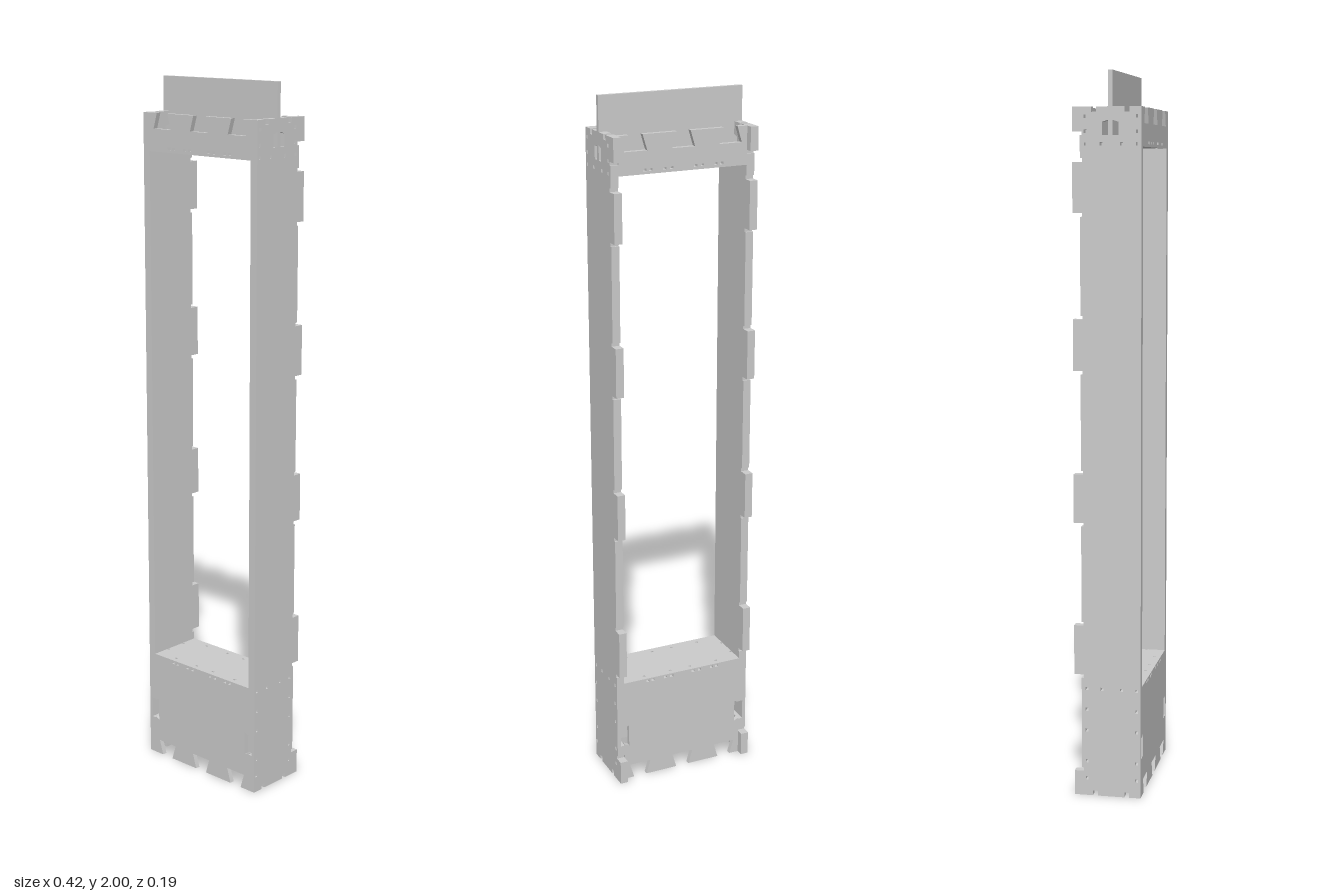
import * as THREE from 'three';

const HALF_W = 0.21, INNER = 0.187;      // outer and inner faces of the sides
const FRONT = 0.094, BACK = -0.073;      // outer faces of front and back panels
const THICK = 0.014, MID_Z = 0.0095;
const TOP = 1.905;

const material = new THREE.MeshStandardMaterial({ color: 0xcccccc, flatShading: true });

const toShape = (pts) => new THREE.Shape(pts.map(([x, y]) => new THREE.Vector2(x, y)));

function addHole(shape, pts) {
  shape.holes.push(new THREE.Path(pts.map(([x, y]) => new THREE.Vector2(x, y))));
}

function rectHole(shape, x, y, w, h) {
  addHole(shape, [[x - w / 2, y - h / 2], [x - w / 2, y + h / 2], [x + w / 2, y + h / 2], [x + w / 2, y - h / 2]]);
}

function extrude(shape, depth) {
  return new THREE.ExtrudeGeometry(shape, { depth, bevelEnabled: false });
}

function addMesh(parent, name, geometry) {
  const mesh = new THREE.Mesh(geometry, material);
  mesh.name = name;
  parent.add(mesh);
  return mesh;
}

// Dovetail socket cut into a horizontal edge; dir is +1 for a bottom edge, -1 for a top edge
const socket = (x, y, dir) => [
  [x - 0.02, y], [x - 0.033, y + dir * 0.043], [x + 0.033, y + dir * 0.043], [x + 0.02, y],
];
const SOCKETS = [-0.138, 0, 0.138];

// Lower panel: sockets along the bottom and half sockets in both sides
function lowerPanelShape() {
  const pts = [[-INNER, 0]];
  SOCKETS.forEach((x) => pts.push(...socket(x, 0, 1)));
  pts.push([INNER, 0], [INNER, 0.115], [0.173, 0.109], [0.173, 0.176], [INNER, 0.17], [INNER, 0.317]);
  pts.push([-INNER, 0.317], [-INNER, 0.17], [-0.173, 0.176], [-0.173, 0.109], [-INNER, 0.115]);
  return toShape(pts);
}

// Header: sockets along the top
function headerShape() {
  const pts = [[-INNER, 1.8], [INNER, 1.8], [INNER, TOP]];
  [...SOCKETS].reverse().forEach((x) => pts.push(...socket(x, TOP, -1).reverse()));
  pts.push([-INNER, TOP]);
  return toShape(pts);
}

// Side profile in (z, y) between two heights, with finger tabs along the back edge
const TABS = [[0, 0.07], [0.35, 0.49], [0.78, 0.915], [1.2, 1.34], [1.625, 1.76], [1.84, TOP]];
function sideShape(y0, y1) {
  const pts = [];
  const notches = [0.055, -0.035];
  pts.push([FRONT, y1]);
  if (y1 === TOP) {
    notches.forEach((z) => pts.push([z + 0.007, y1], [z + 0.007, y1 - 0.014], [z - 0.007, y1 - 0.014], [z - 0.007, y1]));
  }
  const tabs = TABS.filter(([a, b]) => a >= y0 && b <= y1).reverse();
  if (y1 !== TOP) pts.push([BACK, y1]);
  tabs.forEach(([a, b]) => {
    if (b < TOP) pts.push([BACK, b + 0.01], [BACK + 0.006, b + 0.01], [BACK + 0.006, b]);
    pts.push([-0.094, b], [-0.094, a]);
    if (a > 0) pts.push([BACK + 0.006, a], [BACK + 0.006, a - 0.01], [BACK, a - 0.01]);
  });
  if (y0 === 0) {
    [...notches].reverse().forEach((z) => pts.push([z - 0.007, 0], [z - 0.007, 0.014], [z + 0.007, 0.014], [z + 0.007, 0]));
  } else {
    pts.push([BACK, y0]);
  }
  pts.push([FRONT, y0]);
  const shape = toShape(pts);

  // small joint holes
  const holes = [];
  [0.31, 1.807].forEach((y) => [0.083, 0.04, -0.015, -0.058].forEach((z) => holes.push([z, y])));
  [0.05, 0.1, 0.19, 0.25, 1.84, 1.88].forEach((y) => [0.083, -0.058].forEach((z) => holes.push([z, y])));
  holes.filter(([, y]) => y > y0 && y < y1).forEach(([z, y]) => rectHole(shape, z, y, 0.008, 0.009));
  // central socket that holds the top plate
  if (y1 === TOP) {
    const c = MID_Z;
    addHole(shape, [[c - 0.022, 1.83], [c - 0.022, 1.865], [c - 0.006, 1.87], [c - 0.006, 1.9],
      [c + 0.006, 1.9], [c + 0.006, 1.87], [c + 0.022, 1.865], [c + 0.022, 1.83]]);
  }
  return shape;
}

// Shelf in (x, -z) with small square corner reliefs
function shelfGeometry() {
  const z0 = BACK + THICK, z1 = FRONT - THICK;
  const shape = toShape([[-INNER, -z1], [INNER, -z1], [INNER, -z0], [-INNER, -z0]]);
  [-0.117, -0.032, 0.032, 0.117].forEach((x) => {
    rectHole(shape, x, -(z0 + 0.004), 0.008, 0.006);
    rectHole(shape, x, -(z1 - 0.004), 0.008, 0.006);
  });
  [-0.022, 0.04].forEach((z) => [-1, 1].forEach((s) => rectHole(shape, s * 0.183, -z, 0.006, 0.008)));
  return extrude(shape, 0.013).rotateX(-Math.PI / 2);
}

export function createModel() {
  const model = new THREE.Group();
  model.name = 'towerFrame';

  // Front and back panels and headers
  const slots = [-0.112, -0.095, -0.055, -0.035, 0.035, 0.055, 0.095, 0.112];
  [['front', FRONT - THICK], ['back', BACK]].forEach(([side, z]) => {
    [['LowerPanel', lowerPanelShape(), 0.309], ['Header', headerShape(), 1.811]].forEach(([part, shape, y]) => {
      slots.forEach((x) => rectHole(shape, x, y, 0.01, 0.007));
      addMesh(model, side + part, extrude(shape, THICK)).position.z = z;
    });
  });

  // Side panels: an outer skin, and an inner layer split by the key channel
  [['left', 1], ['right', -1]].forEach(([name, s]) => {
    const panel = new THREE.Group();
    panel.name = name + 'SidePanel';
    const layer = (part, y0, y1, xIn, xOut) => {
      const geometry = extrude(sideShape(y0, y1), xOut - xIn).rotateY(-Math.PI / 2);
      geometry.translate(s > 0 ? xOut : -xIn, 0, 0);
      addMesh(panel, part, geometry);
    };
    layer('outerSkin', 0, TOP, 0.2, HALF_W);
    layer('innerLower', 0, 0.112, INNER, 0.2);
    layer('innerUpper', 0.172, TOP, INNER, 0.2);
    model.add(panel);
  });

  // Shelves above and below the opening
  addMesh(model, 'lowerShelf', shelfGeometry()).position.y = 0.304;
  addMesh(model, 'upperShelf', shelfGeometry()).position.y = 1.8;

  // Upright plate standing in the top sockets
  const plate = addMesh(model, 'topPlate', new THREE.BoxGeometry(HALF_W * 2, 0.17, 0.012));
  plate.position.set(0, 1.915, MID_Z);

  return model;
}
